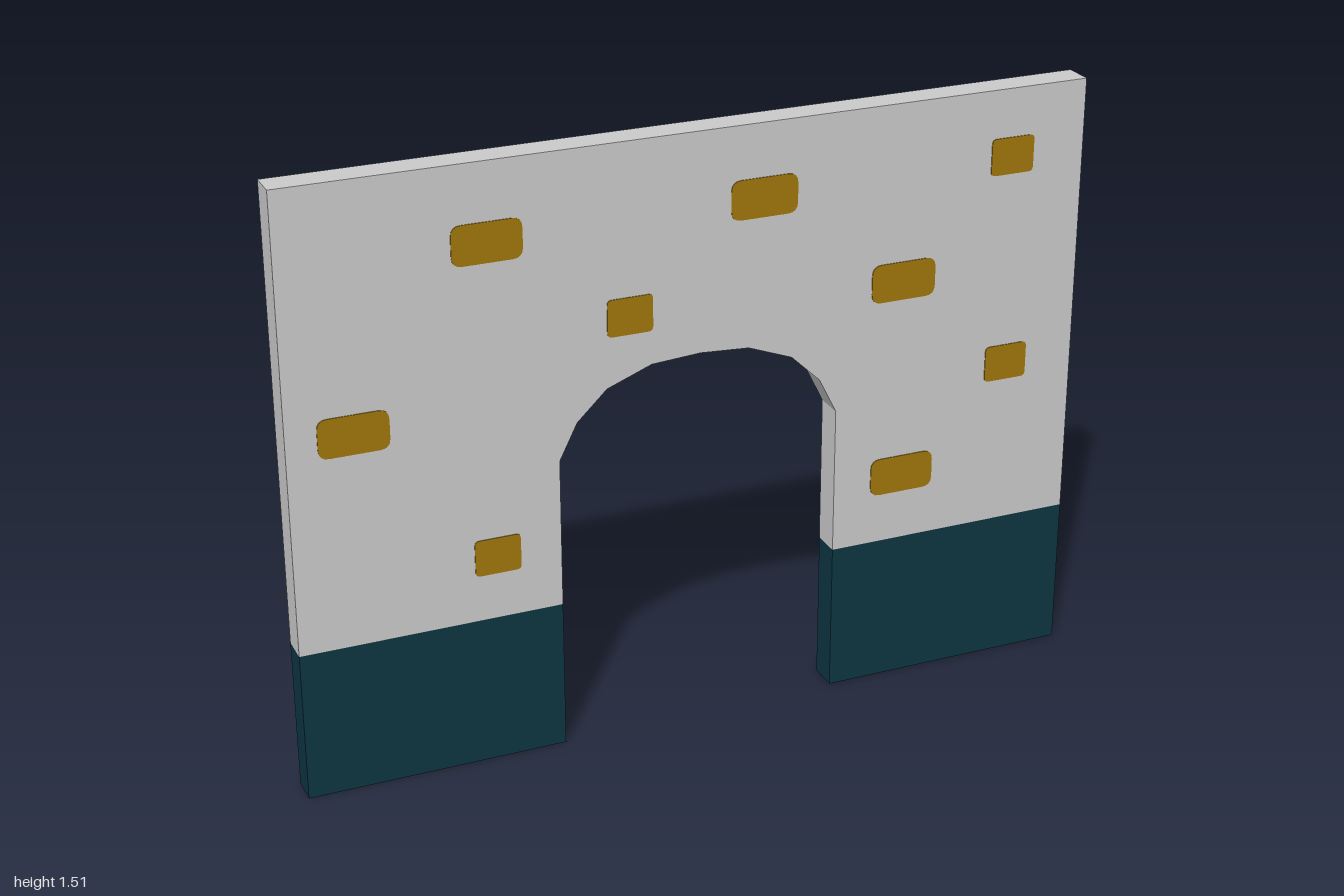
import * as THREE from 'three';

const W = 2, H = 1.51, DEPTH = 0.075, BASE = 0.38, BAND = 0.083, DOOR = 0.355;

export function createModel() {
  const group = new THREE.Group();
  const material = (name, color) => new THREE.MeshStandardMaterial({ name, color });
  const plaster = material('greyPlaster', 0xc9c9c9);
  const ochre = material('ochre', 0x9f760b);
  const teal = material('darkTeal', 0x0d3440);

  const add = (name, geometry, mat, x, y, z) => {
    const mesh = new THREE.Mesh(geometry, mat);
    mesh.name = name;
    mesh.position.set(x, y, z);
    group.add(mesh);
  };
  // Box whose back face is ochre
  const slab = (name, w, h, x, y, mat) =>
    add(name, new THREE.BoxGeometry(w, h, DEPTH), [mat, mat, mat, mat, mat, ochre], x, y, 0);

  // Base of each leg and the band along the top
  const legW = W / 2 - DOOR;
  for (const s of [-1, 1]) {
    slab(s > 0 ? 'leftBase' : 'rightBase', legW, BASE, s * (DOOR + legW / 2), BASE / 2, teal);
  }
  slab('topBand', W, BAND, 0, H - BAND / 2, plaster);

  // Wall with a faceted arch
  const arch = [[0.355, 0.755], [0.31, 0.845], [0.235, 0.917], [0.123, 0.96]];
  const outline = [
    [-1, BASE], [-DOOR, BASE],
    ...arch.map(([x, y]) => [-x, y]), [0, 0.968], ...arch.slice().reverse(),
    [DOOR, BASE], [1, BASE], [1, H - BAND], [-1, H - BAND],
  ];
  const wall = new THREE.Shape(outline.map(([x, y]) => new THREE.Vector2(x, y)));
  add('archWall', new THREE.ExtrudeGeometry(wall, { depth: DEPTH, bevelEnabled: false }),
    plaster, 0, 0, -DEPTH / 2);

  // Exposed bricks with rounded corners on the front
  const brick = (w, h, r = 0.02) => {
    const a = w / 2, b = h / 2, s = new THREE.Shape();
    s.moveTo(-a + r, -b);
    s.lineTo(a - r, -b);
    s.quadraticCurveTo(a, -b, a, -b + r);
    s.lineTo(a, b - r);
    s.quadraticCurveTo(a, b, a - r, b);
    s.lineTo(-a + r, b);
    s.quadraticCurveTo(-a, b, -a, b - r);
    s.lineTo(-a, -b + r);
    s.quadraticCurveTo(-a, -b, -a + r, -b);
    return new THREE.ExtrudeGeometry(s, { depth: 0.002, bevelEnabled: false, curveSegments: 4 });
  };
  const longBrick = brick(0.168, 0.097, 0.025), shortBrick = brick(0.113, 0.092, 0.012);
  const longSpots = [[-0.515, 1.32], [0.16, 1.33], [0.527, 1.067], [-0.842, 0.912], [0.538, 0.556]];
  const shortSpots = [[0.808, 1.343], [-0.176, 1.09], [0.816, 0.808], [-0.513, 0.543]];
  for (const [x, y] of longSpots) add('longBrick', longBrick, ochre, x, y, DEPTH / 2);
  for (const [x, y] of shortSpots) add('shortBrick', shortBrick, ochre, x, y, DEPTH / 2);

  return group;
}
